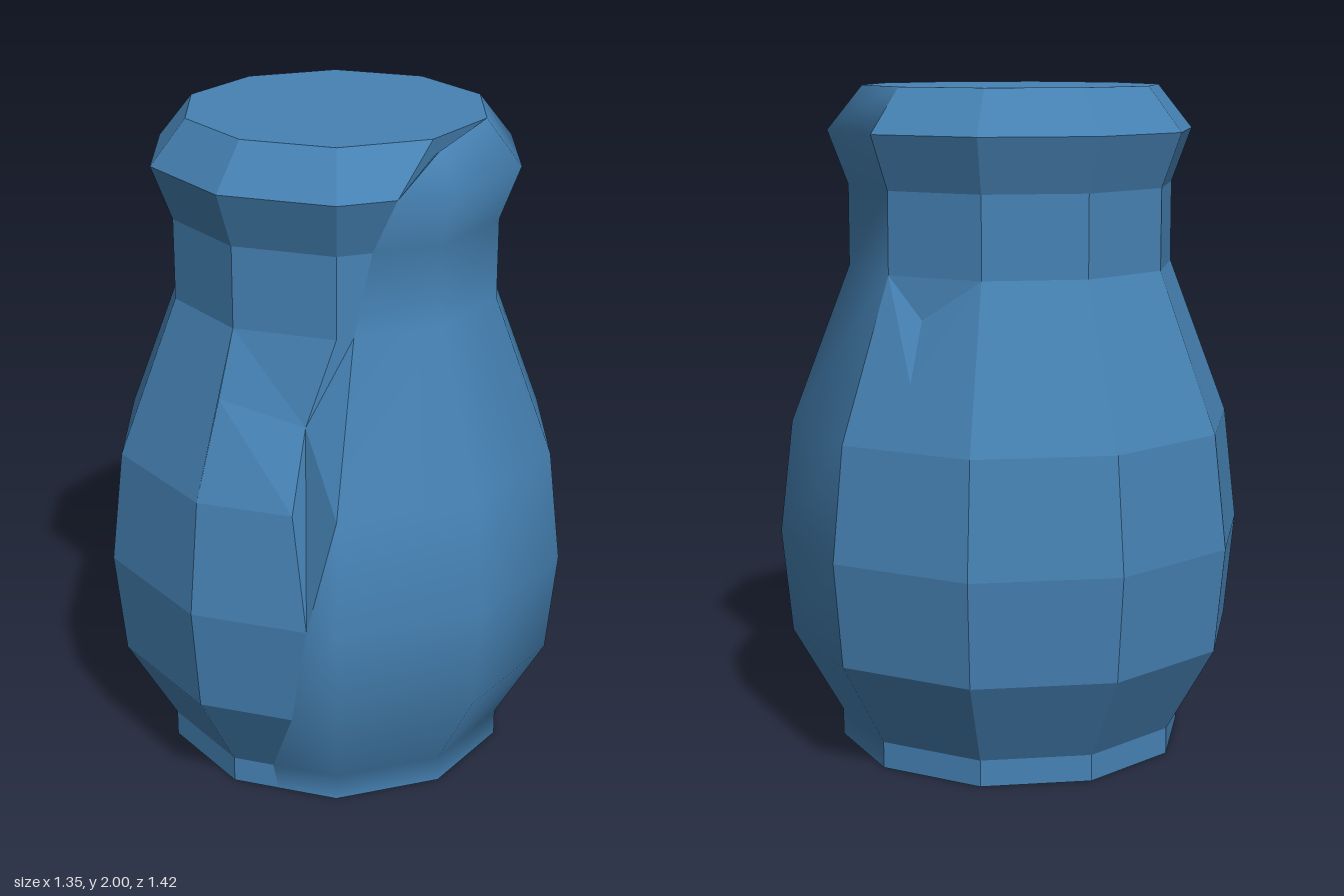
import * as THREE from 'three';
import { mergeVertices } from 'three/addons/utils/BufferGeometryUtils.js';

// Ten-sided jar profile: [radius, height]
const PROFILE = [
  [0.53, 0], [0.53, 0.08], [0.68, 0.345], [0.71, 0.66], [0.67, 1.0],
  [0.49, 1.47], [0.49, 1.71], [0.55, 1.87], [0.445, 2.0],
];
const TOP = PROFILE.length - 1;

const P = (x, y, z) => new THREE.Vector3(x, y, z);

// Corner of the jar on a profile row, at an angle in degrees from the front
function at(row, deg) {
  const [r, y] = PROFILE[row];
  const a = THREE.MathUtils.degToRad(deg);
  return P(r * Math.sin(a), y, r * Math.cos(a));
}

// Point on a panel between two angles, found by its x
function onPanel(row, a, b, x) {
  const p = at(row, a), q = at(row, b);
  return p.clone().lerp(q, (x - p.x) / (q.x - p.x));
}

// Fan of triangles turned to face away from the middle of the jar
function face(out, ...pts) {
  for (let i = 1; i < pts.length - 1; i++) {
    const [a, b, c] = [pts[0], pts[i], pts[i + 1]];
    const n = b.clone().sub(a).cross(c.clone().sub(a));
    if (n.length() < 1e-7) continue;
    const mid = a.clone().add(b).add(c).divideScalar(3).sub(P(0, 1, 0));
    out.push(...(n.dot(mid) > 0 ? [a, b, c] : [a, c, b]));
  }
}

function makeMesh(name, points, smooth) {
  let geo = new THREE.BufferGeometry().setFromPoints(points);
  if (smooth) geo = mergeVertices(geo, 1e-4);
  geo.computeVertexNormals();
  const mat = new THREE.MeshStandardMaterial({ color: 0x4682b4, side: THREE.DoubleSide });
  const mesh = new THREE.Mesh(geo, mat);
  mesh.name = name;
  return mesh;
}

export function createModel() {
  const group = new THREE.Group();
  group.name = 'crackedJar';

  // Crack line along the edge of the smooth front shell, from base to rim
  const crackX = [-0.42, -0.43, -0.48, -0.47, -0.394, -0.24, -0.19, -0.16];
  const crack = crackX.map((x, row) =>
    row < 4 ? onPanel(row, -72, -36, x) : row === 4 ? at(4, -36) : onPanel(row, -36, 0, x));
  const rimDip = P(0, 1.97, 0.47);

  // Smooth front shell
  const shell = [];
  const shellRow = (row) => {
    const rest = [36, 72, 108].map((d) => at(row, d));
    if (row === TOP) return [crack[7], crack[7], rimDip, ...rest];
    return [crack[row], row < 4 ? at(row, -36) : crack[row], at(row, 0), ...rest];
  };
  for (let row = 0; row < TOP; row++) {
    const lo = shellRow(row), hi = shellRow(row + 1);
    for (let i = 0; i < lo.length - 1; i++) face(shell, lo[i], lo[i + 1], hi[i + 1], hi[i]);
  }
  group.add(makeMesh('frontShell', shell, true));

  // Flat back panels, leaving room for the chip under the neck
  const back = [];
  for (let row = 0; row < TOP; row++) {
    for (let d = 108; d < 288; d += 36) {
      if (row === 4 && d === 108) continue;
      face(back, at(row, d), at(row, d + 36), at(row + 1, d + 36), at(row + 1, d));
    }
  }
  group.add(makeMesh('backPanels', back));

  // Shoulder chip at the back
  const chip = [];
  const chipTip = P(0.473, 1.18, -0.32), chipDepth = P(0.41, 1.35, -0.26);
  const [c0, c1, c2, c3] = [at(4, 108), at(4, 144), at(5, 144), at(5, 108)];
  face(chip, chipTip, c2, c1);
  face(chip, chipTip, c1, c0);
  face(chip, chipTip, c0, c3);
  face(chip, chipDepth, c2, c3);
  face(chip, chipDepth, c3, chipTip);
  face(chip, chipDepth, chipTip, c2);
  group.add(makeMesh('shoulderChip', chip));

  // Flat side panels beside the crack
  const side = [];
  for (let row = 0; row < 3; row++) {
    face(side, at(row, -72), crack[row], crack[row + 1], at(row + 1, -72));
  }
  const gashTop = P(-0.533, 1.28, 0.173);
  const gashMid = onPanel(4, -72, -36, -0.47);
  face(side, at(3, -72), crack[3], gashMid, at(4, -72));
  face(side, at(4, -72), gashMid, gashTop);
  for (let row = 5; row < TOP; row++) {
    face(side, at(row, -72), at(row, -36), at(row + 1, -36), at(row + 1, -72));
  }
  for (let row = 5; row < 7; row++) {
    face(side, at(row, -36), crack[row], crack[row + 1], at(row + 1, -36));
  }
  face(side, at(7, -36), crack[7], at(TOP, 0), at(TOP, -36));
  group.add(makeMesh('sidePanels', side));

  // Long gash sunk into the front corner
  const gash = [];
  const gashDepth = P(-0.375, 1.22, 0.37);
  const gashRing = [crack[3], crack[4], crack[5], at(5, -36), at(5, -72), gashTop, gashMid];
  gashRing.forEach((p, i) => face(gash, gashDepth, p, gashRing[(i + 1) % gashRing.length]));
  group.add(makeMesh('cornerGash', gash));

  // Narrow split in the rim
  const split = [];
  const splitDepth = P(0.02, 1.95, 0.43);
  const splitRing = [crack[7], rimDip, at(TOP, 36), at(TOP, 0)];
  splitRing.forEach((p, i) => face(split, splitDepth, p, splitRing[(i + 1) % 4]));
  group.add(makeMesh('rimSplit', split));

  // Flat top
  const lid = [];
  face(lid, ...Array.from({ length: 10 }, (_, i) => at(TOP, i * 36)));
  group.add(makeMesh('top', lid));

  // Underside in two halves with a thin crack between them
  const base = [];
  const start = at(0, 108), end = crack[0];
  const m1 = P(0.06, 0, 0.085), m2 = P(0.02, 0, 0.03), groove = P(0.04, 0.04, 0.058);
  face(base, m1, start, at(0, 72), at(0, 36), at(0, 0), at(0, -36), end);
  face(base, m2, end, at(0, -72), at(0, 252), at(0, 216), at(0, 180), at(0, 144), start);
  const grooveRing = [start, m1, end, m2];
  grooveRing.forEach((p, i) => face(base, groove, p, grooveRing[(i + 1) % 4]));
  group.add(makeMesh('underside', base));

  return group;
}
